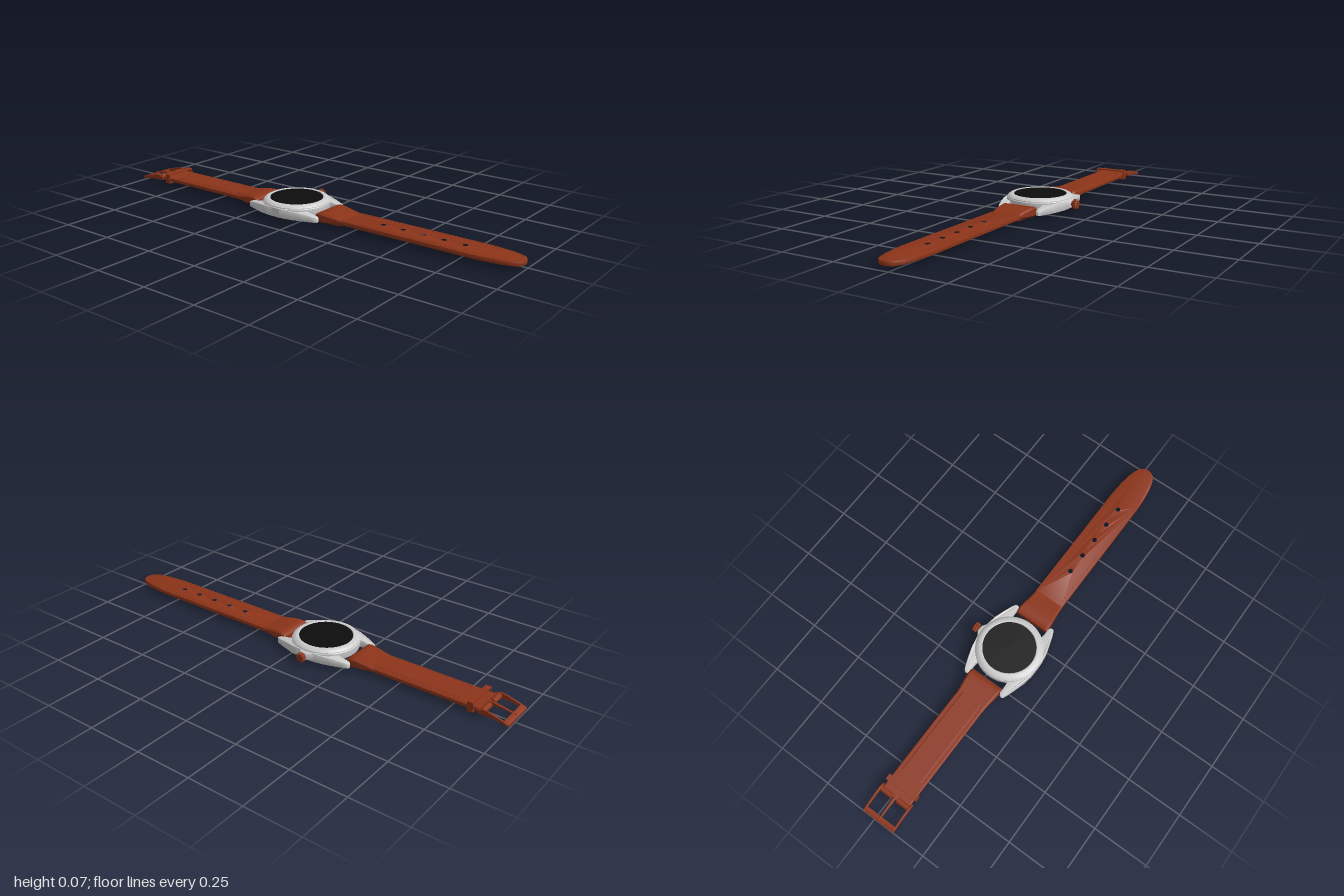
import * as THREE from 'three';
import { toCreasedNormals, mergeGeometries } from 'three/addons/utils/BufferGeometryUtils.js';

const leather = new THREE.MeshStandardMaterial({ color: 0x8c3419 });
const metal = new THREE.MeshStandardMaterial({ color: 0xcccccc });
const black = new THREE.MeshStandardMaterial({ color: 0x0d0d0d });

function add(parent, name, geometry, material) {
  const mesh = new THREE.Mesh(geometry, material);
  mesh.name = name;
  parent.add(mesh);
  return mesh;
}

// Flat plate from a plan outline of [x, z] points, between heights y0 and y1
function plate(points, y0, y1, bevel, holes = []) {
  const shape = new THREE.Shape(points.map(([x, z]) => new THREE.Vector2(x, -z)));
  for (const [x, z, r] of holes) {
    shape.holes.push(new THREE.Path().absarc(x, -z, r, 0, Math.PI * 2, true));
  }
  const g = new THREE.ExtrudeGeometry(shape, {
    depth: y1 - y0 - 2 * bevel, bevelEnabled: bevel > 0, bevelThickness: bevel,
    bevelSize: bevel, bevelOffset: -bevel, bevelSegments: 2, curveSegments: 10,
  });
  g.rotateX(-Math.PI / 2).translate(0, y0 + bevel, 0);
  return g;
}

// Chamfered bar through sections [z, halfWidth, y0, y1], listed by rising z
function loft(sections, chamfer = 0.005) {
  const pos = [], idx = [], n = 8;
  for (const [z, w, y0, y1] of sections) {
    const c = Math.min(chamfer, w * 0.4, (y1 - y0) * 0.4);
    const ring = [[w, y0 + c], [w, y1 - c], [w - c, y1], [c - w, y1],
      [-w, y1 - c], [-w, y0 + c], [c - w, y0], [w - c, y0]];
    for (const [x, y] of ring) pos.push(x, y, z);
  }
  const last = (sections.length - 1) * n;
  for (let s = 0; s < last; s += n) {
    for (let j = 0; j < n; j++) {
      const a = s + j, b = s + (j + 1) % n;
      idx.push(a, b, b + n, a, b + n, a + n);
    }
  }
  for (let j = 1; j < n - 1; j++) {
    idx.push(0, j + 1, j, last, last + j, last + j + 1);
  }
  const g = new THREE.BufferGeometry();
  g.setAttribute('position', new THREE.Float32BufferAttribute(pos, 3));
  g.setIndex(idx);
  return toCreasedNormals(g, 0.6);
}

// Row of small stitches along a path of [x, z] points
function stitches(points, y) {
  const path = new THREE.CurvePath();
  for (let i = 1; i < points.length; i++) {
    path.add(new THREE.LineCurve(new THREE.Vector2(...points[i - 1]), new THREE.Vector2(...points[i])));
  }
  const count = Math.round(path.getLength() / 0.02), parts = [];
  for (let i = 0; i < count; i++) {
    const u = (i + 0.5) / count, p = path.getPoint(u), t = path.getTangent(u);
    parts.push(new THREE.BoxGeometry(0.002, 0.002, 0.012)
      .rotateY(Math.atan2(t.x, t.y)).translate(p.x, y, p.y));
  }
  return mergeGeometries(parts);
}

// Padded strap root beside the case, with the lining fold under it and the spring bar
function strapRoot(parent) {
  add(parent, 'strapRoot', loft([
    [0.162, 0.079, 0.016, 0.040], [0.172, 0.080, 0.011, 0.049], [0.19, 0.080, 0.010, 0.052],
    [0.22, 0.077, 0.011, 0.050], [0.26, 0.072, 0.014, 0.044], [0.296, 0.070, 0.018, 0.038],
  ], 0.007), leather);
  add(parent, 'liningFold', loft([
    [0.172, 0.048, 0.004, 0.020], [0.182, 0.051, 0, 0.020],
    [0.27, 0.051, 0.002, 0.022], [0.285, 0.048, 0.010, 0.024],
  ]), leather);
  add(parent, 'springBar', new THREE.CylinderGeometry(0.006, 0.006, 0.18, 12)
    .rotateZ(Math.PI / 2).translate(0, 0.025, 0.172), metal);
}

function createCase() {
  const group = new THREE.Group();
  group.name = 'case';
  const lathe = (pts) => toCreasedNormals(
    new THREE.LatheGeometry(pts.map((p) => new THREE.Vector2(...p)), 72), 0.5);

  add(group, 'caseBody', lathe([[0, 0.012], [0.122, 0.012], [0.134, 0.016], [0.145, 0.023],
    [0.148, 0.031], [0.148, 0.055], [0.145, 0.058], [0, 0.058]]), metal);
  add(group, 'bezel', lathe([[0.145, 0.057], [0.145, 0.061], [0.139, 0.067], [0.129, 0.072],
    [0.119, 0.072], [0.115, 0.068], [0.113, 0.057]]), metal);
  add(group, 'dial', new THREE.CylinderGeometry(0.116, 0.116, 0.01, 72).translate(0, 0.0655, 0), black);
  add(group, 'caseBack', lathe([[0, 0.005], [0.112, 0.005], [0.119, 0.008], [0.119, 0.014]]), leather);

  // Four lugs that thin out toward the strap
  const plan = [[0.147, 0], [0.146, 0.04], [0.138, 0.085], [0.124, 0.13], [0.112, 0.165],
    [0.104, 0.184], [0.096, 0.19], [0.087, 0.188], [0.082, 0.178], [0.082, 0.14],
    [0.078, 0.118], [0.06, 0.11], [0.09, 0.03]];
  for (const sx of [1, -1]) {
    for (const sz of [1, -1]) {
      const g = plate(plan.map(([x, z]) => [x * sx, z * sz]), 0.014, 0.055, 0.004);
      const p = g.attributes.position;
      for (let i = 0; i < p.count; i++) {
        const t = THREE.MathUtils.clamp((Math.abs(p.getZ(i)) - 0.03) / 0.16, 0, 1);
        p.setY(i, 0.014 + (p.getY(i) - 0.014) * (1 - 0.45 * t * t));
      }
      add(group, 'lug', toCreasedNormals(g, 0.6), metal);
    }
  }

  // Crown with its guard and stem
  add(group, 'crownGuard', toCreasedNormals(plate([[0.12, -0.075], [0.138, -0.055], [0.15, -0.03],
    [0.161, -0.014], [0.161, 0.014], [0.15, 0.03], [0.138, 0.055], [0.12, 0.075]],
  0.02, 0.054, 0.006), 0.6), metal);
  add(group, 'crownStem', new THREE.CylinderGeometry(0.011, 0.011, 0.03, 16)
    .rotateZ(Math.PI / 2).translate(0.162, 0.039, 0), leather);
  const teeth = new THREE.Shape();
  for (let i = 0; i < 48; i++) {
    const a = (i / 48) * Math.PI * 2, r = i % 4 < 2 ? 0.0215 : 0.0185;
    teeth[i ? 'lineTo' : 'moveTo'](Math.cos(a) * r, Math.sin(a) * r);
  }
  add(group, 'crown', new THREE.ExtrudeGeometry(teeth, {
    depth: 0.014, bevelThickness: 0.003, bevelSize: 0.003, bevelOffset: -0.003, bevelSegments: 1,
  }).rotateY(Math.PI / 2).translate(0.171, 0.039, 0), leather);
  return group;
}

function createHoleStrap() {
  const group = new THREE.Group();
  group.name = 'holeStrap';
  strapRoot(group);
  const side = [[0.07, 0.29], [0.07, 0.9], [0.066, 0.96], [0.059, 1.015], [0.049, 1.055],
    [0.036, 1.08], [0.018, 1.092]];
  const mirror = (pts) => pts.map(([x, z]) => [-x, z]).reverse();
  const holes = [0, 1, 2, 3, 4].map((i) => [0, 0.46 + i * 0.095, 0.015]);
  add(group, 'strapBand', toCreasedNormals(
    plate([...side, [0, 1.095], ...mirror(side)], 0.018, 0.038, 0.004, holes), 0.6), leather);
  const seam = side.map(([x, z]) => [x * 0.8, z - (z > 1 ? 0.014 : 0)]);
  add(group, 'stitching', stitches([...seam, ...mirror(seam)], 0.038), leather);
  return group;
}

function createBuckleStrap() {
  const group = new THREE.Group();
  group.name = 'buckleStrap';
  strapRoot(group);
  add(group, 'strapBand', loft([[0.29, 0.07, 0.018, 0.038], [0.79, 0.069, 0.018, 0.038]], 0.004), leather);
  add(group, 'paddedPanel', loft([[0.25, 0.048, 0.03, 0.045], [0.31, 0.05, 0.03, 0.041],
    [0.68, 0.05, 0.03, 0.041]], 0.003), leather);
  add(group, 'stitching', stitches([[0.058, 0.29], [0.058, 0.69], [-0.058, 0.69], [-0.058, 0.29]], 0.038), leather);

  // Keeper loop around the band
  const box = (s, w, y0, y1) => s.moveTo(-w, y0).lineTo(w, y0).lineTo(w, y1).lineTo(-w, y1).closePath();
  const ring = box(new THREE.Shape(), 0.076, 0.01, 0.054);
  ring.holes.push(box(new THREE.Path(), 0.071, 0.015, 0.049));
  add(group, 'keeperLoop', new THREE.ExtrudeGeometry(ring, { depth: 0.026, bevelEnabled: false })
    .translate(0, 0, 0.726), leather);

  // Rolled strap end, split for the tongue
  for (const s of [1, -1]) {
    add(group, 'strapRoll', new THREE.CylinderGeometry(0.013, 0.013, 0.056, 20)
      .rotateZ(Math.PI / 2).translate(s * 0.041, 0.03, 0.79), leather);
    add(group, 'buckleSide', loft([[0.77, 0.004, 0.022, 0.036], [0.795, 0.004, 0.018, 0.045],
      [0.83, 0.004, 0.020, 0.040], [0.87, 0.004, 0.014, 0.029], [0.905, 0.004, 0.007, 0.018]], 0.002)
      .translate(s * 0.075, 0, 0), leather);
  }
  add(group, 'bucklePin', new THREE.CylinderGeometry(0.005, 0.005, 0.15, 12)
    .rotateZ(Math.PI / 2).translate(0, 0.03, 0.79), leather);
  add(group, 'buckleEnd', loft([[0.882, 0.079, 0.014, 0.025], [0.895, 0.079, 0.009, 0.022],
    [0.905, 0.079, 0.007, 0.016]], 0.003), leather);
  add(group, 'buckleTongue', loft([[0.78, 0.006, 0.024, 0.042], [0.80, 0.006, 0.026, 0.042],
    [0.85, 0.0045, 0.026, 0.034], [0.898, 0.004, 0.018, 0.025]], 0.002), leather);
  return group;
}

export function createModel() {
  const model = new THREE.Group();
  model.name = 'wristwatch';
  const watch = new THREE.Group();
  watch.name = 'watch';
  const back = createBuckleStrap();
  back.rotation.y = Math.PI;
  watch.add(createCase(), createHoleStrap(), back);
  watch.position.set(-0.02, 0, -0.095);
  model.add(watch);
  return model;
}
